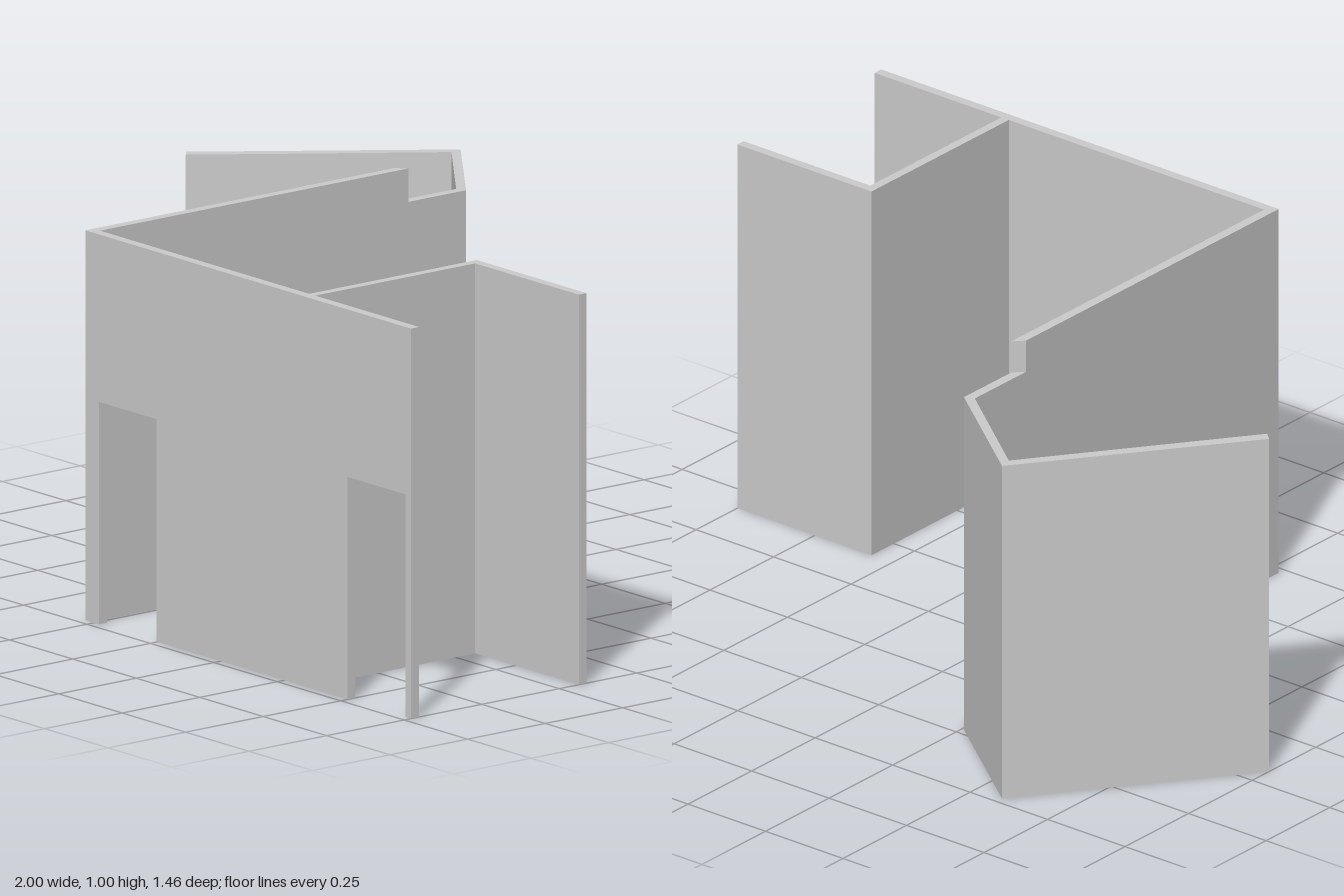
import * as THREE from 'three';

const HIGH = 1.004, LOW = 0.918, DOOR = 0.573;
const FRONT = 0.728, INNER = 0.702; // outer and inner z of the front wall

export function createModel() {
  const model = new THREE.Group();
  model.name = 'wallSet';
  const material = new THREE.MeshStandardMaterial({ color: 0xcccccc });

  const extrude = (points, depth) => new THREE.ExtrudeGeometry(
    new THREE.Shape(points.map(([a, b]) => new THREE.Vector2(a, b))),
    { depth, bevelEnabled: false });

  const add = (name, geometry) => {
    const mesh = new THREE.Mesh(geometry, material);
    mesh.name = name;
    model.add(mesh);
  };

  // Wall raised from a floor outline of [x, z] corners
  const addWall = (name, outline, height) =>
    add(name, extrude(outline.map(([x, z]) => [x, -z]), height).rotateX(-Math.PI / 2));

  // Front wall with two doorways open at the floor
  const front = extrude([
    [-0.283, 0], [-0.23, 0], [-0.23, DOOR], [-0.003, DOOR], [-0.003, 0],
    [0.75, 0], [0.75, DOOR], [0.978, DOOR], [0.978, 0],
    [1, 0], [1, HIGH], [-0.283, HIGH],
  ], FRONT - INNER);
  add('frontWall', front.translate(0, 0, INNER));

  // Tall part of the long side wall, ending in a slanted cut
  addWall('sideWall', [
    [-0.283, INNER], [-0.257, INNER], [-0.257, -0.292], [-0.283, -0.265],
  ], HIGH);

  // Lower wall that carries on from the cut and folds round at the back
  addWall('foldedBackWall', [
    [-0.283, -0.265], [-0.257, -0.292], [-0.257, -0.478], [-0.585, -0.728],
    [-1, -0.183], [-0.977, -0.163], [-0.578, -0.693], [-0.283, -0.467],
  ], LOW);

  // Cross wall and back wall of the small room
  addWall('roomWall', [
    [0.567, INNER], [0.567, 0.162], [1, 0.162], [1, 0.187], [0.591, 0.187], [0.591, INNER],
  ], HIGH);

  return model;
}
